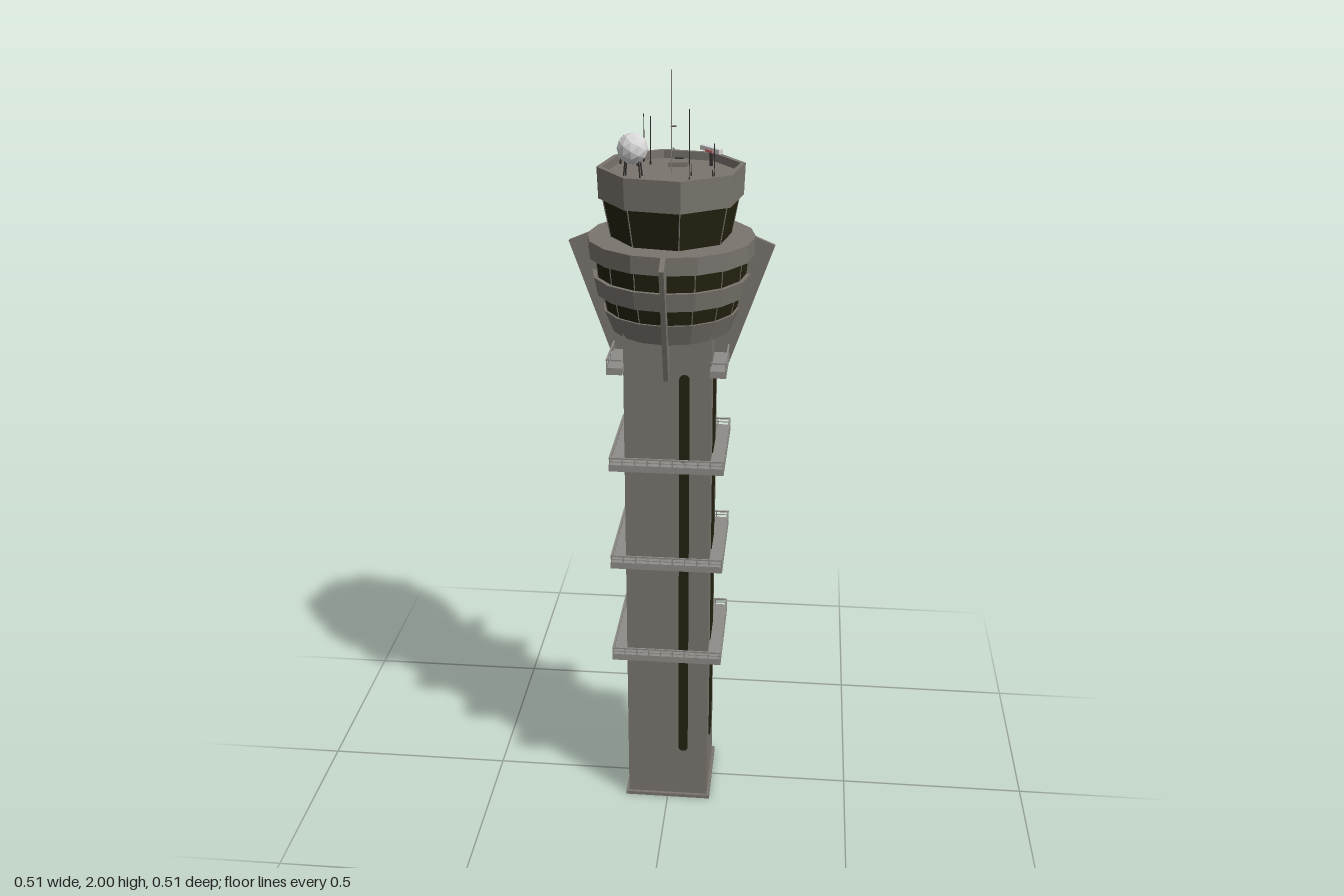
import * as THREE from 'three';

const material = (name, color, side = THREE.FrontSide) =>
  Object.assign(new THREE.MeshStandardMaterial({ color, side }), { name });

export function createModel() {
  const model = new THREE.Group();
  model.name = 'controlTower';
  const concrete = material('concrete', 0x7a756e, THREE.DoubleSide);
  const glass = material('darkGlass', 0x24220f);
  const steel = material('paleSteel', 0x8e8c88);
  const white = material('white', 0xd6d6d6);
  const red = material('red', 0xd46a6c);
  const dark = material('darkMetal', 0x33322f);

  const add = (name, geo, mat, parent = model) => {
    const mesh = new THREE.Mesh(geo, mat);
    mesh.name = name;
    parent.add(mesh);
    return mesh;
  };
  const group = (name, parent = model) => {
    const g = new THREE.Group();
    g.name = name;
    parent.add(g);
    return g;
  };
  const flat = (geo) => {
    const g = geo.index ? geo.toNonIndexed() : geo;
    g.computeVertexNormals();
    return g;
  };
  const box = (name, mat, [w, h, d], [x, y, z], parent) => {
    const m = add(name, new THREE.BoxGeometry(w, h, d), mat, parent);
    m.position.set(x, y, z);
    return m;
  };
  // Faceted ring built from a bottom-to-top profile
  const tier = (name, mat, sides, turn, pts) =>
    add(name, flat(new THREE.LatheGeometry(pts.map(p => new THREE.Vector2(...p)), sides, turn)), mat);
  // Thin rod between two points
  const rod = (name, mat, a, b, r, parent) => {
    const p = new THREE.Vector3(...a), q = new THREE.Vector3(...b), d = q.clone().sub(p);
    const m = add(name, flat(new THREE.CylinderGeometry(r, r, d.length(), 6)), mat, parent);
    m.position.copy(p).add(q).multiplyScalar(0.5);
    m.quaternion.setFromUnitVectors(new THREE.Vector3(0, 1, 0), d.normalize());
  };
  const rect = (Type, s) => {
    const p = new Type();
    p.moveTo(-s, -s); p.lineTo(s, -s); p.lineTo(s, s); p.lineTo(-s, s); p.closePath();
    return p;
  };
  // Square frame around the shaft
  const frame = (name, mat, outer, inner, y, h, parent) => {
    const s = rect(THREE.Shape, outer);
    s.holes.push(rect(THREE.Path, inner));
    const m = add(name, new THREE.ExtrudeGeometry(s, { depth: h, bevelEnabled: false }), mat, parent);
    m.rotation.x = -Math.PI / 2;
    m.position.y = y;
  };

  // Open-bottomed square shaft and plinth
  add('shaft', flat(new THREE.CylinderGeometry(0.11 * Math.SQRT2, 0.11 * Math.SQRT2, 1.4, 4, 1, true, Math.PI / 4)), concrete)
    .position.y = 0.7;
  frame('plinth', concrete, 0.118, 0.109, 0, 0.01);

  // Tall round-ended window strips, narrow front and back, wide on the sides
  const strip = (name, w, y0, y1, offset, angle) => {
    const r = w / 2, s = new THREE.Shape();
    s.absarc(0, y1 - r, r, 0, Math.PI);
    s.absarc(0, y0 + r, r, Math.PI, Math.PI * 2);
    s.closePath();
    const holder = group(name);
    holder.rotation.y = angle;
    add(name + 'Glass', new THREE.ExtrudeGeometry(s, { depth: 0.003, bevelEnabled: false, curveSegments: 8 }), glass, holder)
      .position.set(offset, 0, 0.109);
  };
  strip('frontStrip', 0.026, 0.155, 1.28, 0.043, 0);
  strip('backStrip', 0.026, 0.155, 1.28, -0.043, Math.PI);
  strip('leftStrip', 0.095, 0.145, 1.285, 0, Math.PI / 2);
  strip('rightStrip', 0.095, 0.145, 1.285, 0, -Math.PI / 2);

  // Walkways around the shaft with railings
  for (const y of [0.465, 0.745, 1.025]) {
    const g = group('walkway');
    frame('deck', steel, 0.146, 0.109, y, 0.018, g);
    frame('topRail', steel, 0.146, 0.142, y + 0.034, 0.004, g);
    frame('midRail', steel, 0.145, 0.143, y + 0.025, 0.002, g);
    for (let side = 0; side < 4; side++) {
      const edge = group('railPosts', g);
      edge.rotation.y = side * Math.PI / 2;
      for (let i = 0; i < 10; i++)
        box('post', steel, [0.003, 0.02, 0.003], [-0.144 + i * 0.032, y + 0.026, 0.144], edge);
    }
  }

  // Short balconies on the two sides below the lantern
  for (const s of [-1, 1]) {
    const g = group('balcony');
    box('deck', steel, [0.04, 0.018, 0.292], [s * 0.128, 1.296, 0], g);
    box('topRail', steel, [0.004, 0.004, 0.292], [s * 0.146, 1.325, 0], g);
    for (const e of [-1, 1]) box('endRail', steel, [0.038, 0.004, 0.004], [s * 0.128, 1.325, e * 0.144], g);
    for (let i = 0; i < 10; i++)
      box('post', steel, [0.003, 0.02, 0.003], [s * 0.146, 1.315, -0.144 + i * 0.032], g);
  }

  // Sixteen-sided lantern: concrete bands with two recessed window rows
  tier('lowerBand', concrete, 16, 0, [[0, 1.37], [0.15, 1.37], [0.172, 1.425], [0.163, 1.425]]);
  tier('lowerWindows', glass, 16, 0, [[0.165, 1.422], [0.175, 1.468]]);
  tier('middleBand', concrete, 16, 0, [[0.173, 1.466], [0.188, 1.466], [0.198, 1.513], [0.185, 1.513]]);
  tier('upperWindows', glass, 16, 0, [[0.187, 1.51], [0.192, 1.562]]);
  tier('upperBand', concrete, 16, 0, [[0.19, 1.56], [0.206, 1.56], [0.208, 1.605], [0, 1.605]]);

  // Slim frames at the window corners
  const mullions = (name, sides, turn, r0, y0, r1, y1, t) => {
    const g = group(name);
    for (let i = 0; i < sides; i++) {
      const a = turn + i * Math.PI * 2 / sides, s = Math.sin(a), c = Math.cos(a);
      rod('mullion', concrete, [r0 * s, y0, r0 * c], [r1 * s, y1, r1 * c], t, g);
    }
  };
  mullions('lowerMullions', 16, 0, 0.165, 1.423, 0.175, 1.468, 0.0015);
  mullions('upperMullions', 16, 0, 0.187, 1.511, 0.192, 1.562, 0.0015);

  // Four tapering buttress fins
  const fin = new THREE.Shape([[0.105, 1.275], [0.146, 1.275], [0.255, 1.585], [0.205, 1.606], [0.105, 1.6]]
    .map(p => new THREE.Vector2(...p)));
  for (let i = 0; i < 4; i++) {
    const holder = group('buttress');
    holder.rotation.y = i * Math.PI / 2;
    add('fin', new THREE.ExtrudeGeometry(fin, { depth: 0.012, bevelEnabled: false }), concrete, holder).position.z = -0.006;
  }

  // Eight-sided control cab, turned slightly, with a parapet roof
  const turn = THREE.MathUtils.degToRad(12);
  tier('cabWindows', glass, 8, turn, [[0.149, 1.604], [0.168, 1.703]]);
  mullions('cabMullions', 8, turn, 0.149, 1.605, 0.168, 1.703, 0.0018);
  tier('cabRoof', concrete, 8, turn,
    [[0.16, 1.7], [0.178, 1.7], [0.181, 1.777], [0.168, 1.777], [0.168, 1.757], [0, 1.757]]);
  box('roofHatch', concrete, [0.047, 0.012, 0.045], [0.009, 1.762, -0.087]);
  box('hatchHandle', dark, [0.022, 0.004, 0.003], [0.009, 1.769, -0.107]);

  // Faceted radar dome with red panels, on legs
  const dome = group('radarDome');
  dome.position.set(-0.087, 1.826, 0.057);
  const ball = flat(new THREE.IcosahedronGeometry(0.038, 1));
  const pos = ball.attributes.position, v = new THREE.Vector3();
  const patches = [new THREE.Vector3(-0.75, 0.6, -0.25).normalize(), new THREE.Vector3(0.6, 0.55, -0.55).normalize()];
  for (let i = 0; i < pos.count; i += 3) {
    const n = new THREE.Vector3();
    for (let k = 0; k < 3; k++) n.add(v.fromBufferAttribute(pos, i + k));
    n.normalize();
    ball.addGroup(i, 3, patches.some(p => p.dot(n) > 0.87) ? 1 : 0);
  }
  add('domeShell', ball, [white, red], dome);
  for (const [x, z] of [[-1, -1], [1, -1], [1, 1], [-1, 1]])
    rod('domeLeg', dark, [x * 0.02, -0.069, z * 0.02], [x * 0.016, -0.025, z * 0.016], 0.002, dome);

  // Rotating radar bar
  const radar = group('radarBar');
  radar.position.set(0.09, 1.757, -0.086);
  radar.rotation.y = -THREE.MathUtils.degToRad(49);
  rod('radarStand', dark, [0, 0, 0], [0, 0.035, 0], 0.005, radar);
  box('antenna', white, [0.076, 0.011, 0.012], [0, 0.04, 0], radar);
  box('antennaBack', red, [0.03, 0.006, 0.003], [0, 0.037, 0.0075], radar);

  // Masts and small roof aerials
  rod('mainMast', steel, [0, 1.757, 0], [0, 2, 0], 0.0015);
  rod('mastArm', steel, [-0.002, 1.87, 0.004], [0.012, 1.87, 0.004], 0.002);
  rod('mastArm', steel, [0.003, 1.815, -0.008], [0.008, 1.815, 0.008], 0.002);
  const aerials = [
    [0.05, 0.085, 1.925], [0.105, 0.028, 1.835], [0.05, 0.028, 1.785], [0.105, 0.085, 1.785],
    [-0.08, -0.118, 1.875], [-0.06, -0.085, 1.875], [-0.09, -0.067, 1.79], [-0.135, -0.085, 1.79],
    [-0.11, -0.1, 1.79], [-0.095, -0.11, 1.79],
  ];
  for (const [x, z, top] of aerials) {
    rod('aerial', dark, [x, 1.757, z], [x, top, z], 0.0012);
    rod('aerialFoot', dark, [x, 1.757, z], [x, 1.766, z], 0.0025);
  }

  // Service door with a small railed step at the back
  box('door', dark, [0.02, 0.035, 0.003], [0, 0.0275, -0.1105]);
  box('doorStep', steel, [0.028, 0.008, 0.012], [0, 0.005, -0.121]);
  for (const x of [-0.013, 0.013]) {
    rod('stepPost', dark, [x, 0.008, -0.126], [x, 0.03, -0.126], 0.001);
    rod('stepRail', dark, [x, 0.03, -0.126], [x, 0.03, -0.11], 0.001);
  }
  return model;
}
